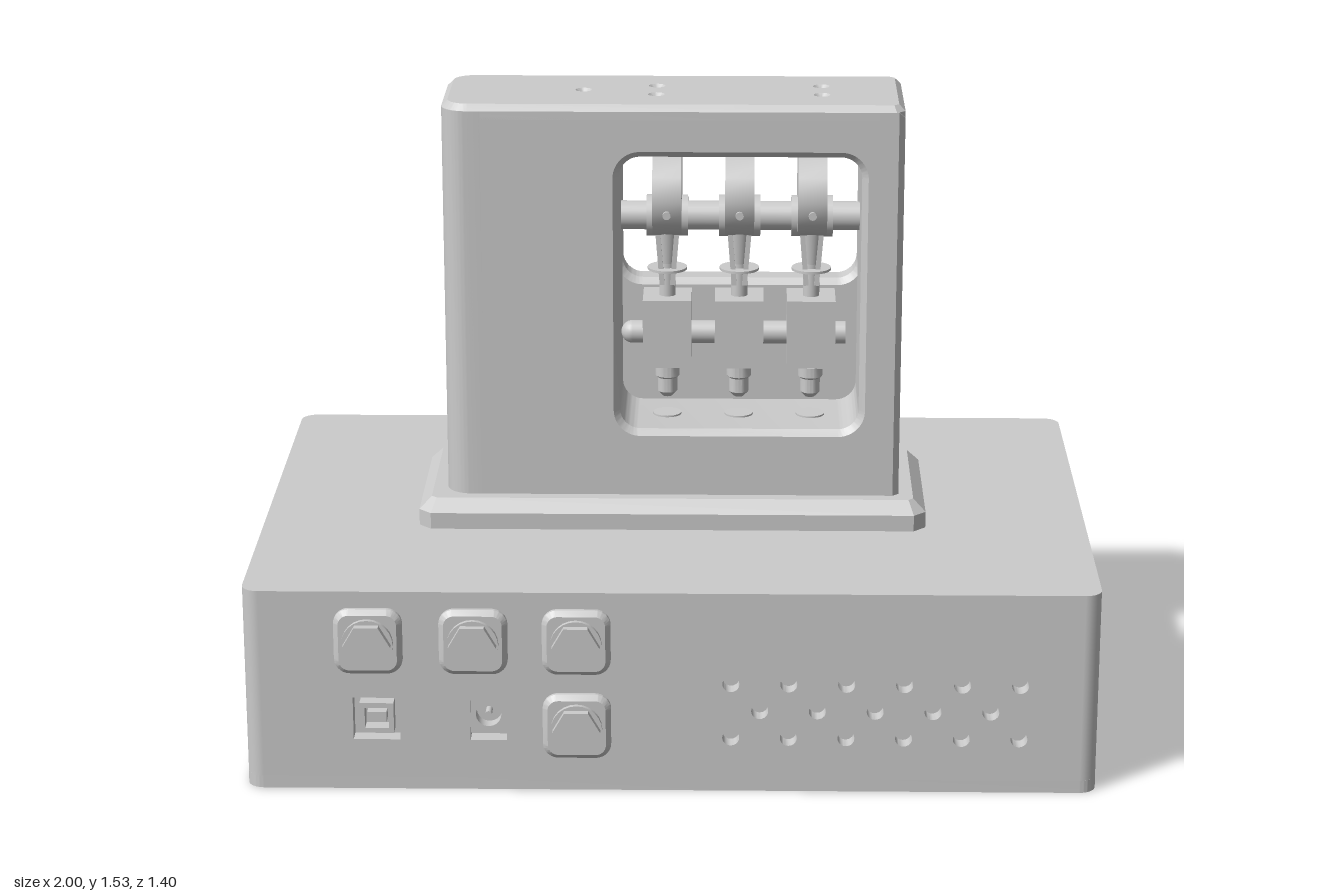
import * as THREE from 'three';
import { toCreasedNormals } from 'three/addons/utils/BufferGeometryUtils.js';

const material = new THREE.MeshStandardMaterial({ color: 0xcccccc });

// Rectangle with rounded corners
function roundRect(x0, y0, x1, y1, r) {
  const s = new THREE.Shape();
  s.absarc(x1 - r, y1 - r, r, 0, Math.PI / 2);
  s.absarc(x0 + r, y1 - r, r, Math.PI / 2, Math.PI);
  s.absarc(x0 + r, y0 + r, r, Math.PI, Math.PI * 1.5);
  s.absarc(x1 - r, y0 + r, r, Math.PI * 1.5, Math.PI * 2);
  s.closePath();
  return s;
}
const polygon = (...p) => new THREE.Shape(p.map(([x, y]) => new THREE.Vector2(x, y)));
const rect = (x0, y0, x1, y1) => polygon([x0, y0], [x1, y0], [x1, y1], [x0, y1]);
const circle = (x, y, r) => new THREE.Shape().absarc(x, y, r, 0, Math.PI * 2);

export function createModel() {
  const model = new THREE.Group();
  const base = new THREE.Group();
  const tower = new THREE.Group();
  const pumps = new THREE.Group();
  base.name = 'base';
  tower.name = 'tower';
  pumps.name = 'pumpMechanism';
  model.add(base, tower, pumps);

  function add(parent, name, geo, x = 0, y = 0, z = 0) {
    const mesh = new THREE.Mesh(geo, material);
    mesh.name = name;
    mesh.position.set(x, y, z);
    parent.add(mesh);
    return mesh;
  }
  // Extrusion filling the span a..b along an axis, chamfered by bevel
  function slab(parent, name, shape, holes, a, b, axis = 'z', bevel = 0) {
    shape.holes.push(...holes);
    const geo = new THREE.ExtrudeGeometry(shape, {
      depth: b - a - 2 * bevel, bevelEnabled: bevel > 0, bevelSize: bevel,
      bevelThickness: bevel, bevelSegments: 1, curveSegments: 10,
    });
    geo.translate(0, 0, a + bevel);
    if (axis === 'y') geo.rotateX(-Math.PI / 2);
    if (axis === 'x') geo.rotateY(Math.PI / 2);
    return add(parent, name, toCreasedNormals(geo, 0.5));
  }
  const box = (p, n, w, h, d, x, y, z) => add(p, n, new THREE.BoxGeometry(w, h, d), x, y, z);
  const rod = (p, n, r0, r1, h, x, y, z, sides = 24) =>
    add(p, n, new THREE.CylinderGeometry(r0, r1, h, sides), x, y, z);

  // ---- Base: screwed bottom plate, core, corner posts, front and back panels
  const screws = [[0, -0.6], [-0.27, -0.48], [-0.395, -0.245], [-0.27, -0.04], [-0.84, -0.185],
    [-0.925, -0.47], [-0.875, 0.51], [-0.42, 0.51], [0, 0.61],
    [0.94, 0.6], [0.94, -0.6], [-0.94, 0.6], [-0.94, -0.6]];
  slab(base, 'bottomPlate', roundRect(-1, -0.655, 1, 0.655, 0.04),
    screws.map(([x, z]) => circle(x, -z, 0.017)), 0, 0.03, 'y');
  box(base, 'baseCore', 2, 0.465, 1.23, 0, 0.2625, 0);
  for (const x of [-0.96, 0.96]) for (const z of [-0.615, 0.615]) {
    rod(base, 'cornerPost', 0.04, 0.04, 0.465, x, 0.2625, z);
  }

  // Staggered vent holes: three rows, the middle one shorter
  function vents(x0, y0, count, dx, dy) {
    const out = [];
    for (let row = 0; row < 3; row++) {
      const odd = row % 2;
      for (let i = 0; i < count - odd; i++) {
        out.push(circle(x0 + (i + odd / 2) * dx, y0 + row * dy, 0.02));
      }
    }
    return out;
  }
  slab(base, 'frontPanel', rect(-0.96, 0.03, 0.96, 0.495), [
    ...vents(0.14, 0.135, 6, 0.135, 0.0675),
    rect(-0.745, 0.125, -0.635, 0.23), rect(-0.47, 0.125, -0.385, 0.23),
  ], 0.615, 0.655);
  slab(base, 'backPanel', rect(-0.96, 0.03, 0.96, 0.495), [
    ...vents(-0.86, 0.255, 5, 0.17, 0.0675), rect(0.48, 0.18, 0.72, 0.41),
  ], -0.655, -0.615);

  // Data port and power jack set into the front panel
  slab(base, 'dataPortShell', rect(-0.73, 0.14, -0.65, 0.215),
    [rect(-0.718, 0.152, -0.662, 0.203)], 0.61, 0.652);
  box(base, 'dataPortTongue', 0.045, 0.025, 0.035, -0.69, 0.178, 0.63);
  slab(base, 'powerJackShell', rect(-0.47, 0.14, -0.385, 0.23),
    [circle(-0.4275, 0.187, 0.03)], 0.61, 0.648);
  rod(base, 'powerJackPin', 0.008, 0.008, 0.035, -0.4275, 0.187, 0.63, 12).rotation.x = Math.PI / 2;

  // Buttons with square bezel, round collar and hexagonal cap
  for (const [x, y] of [[-0.705, 0.375], [-0.46, 0.375], [-0.22, 0.375], [-0.22, 0.165]]) {
    slab(base, 'buttonBezel', roundRect(x - 0.068, y - 0.068, x + 0.068, y + 0.068, 0.025),
      [], 0.635, 0.676, 'z', 0.012);
    rod(base, 'buttonCollar', 0.06, 0.06, 0.03, x, y, 0.672).rotation.x = Math.PI / 2;
    const cap = add(base, 'buttonCap', toCreasedNormals(
      new THREE.CylinderGeometry(0.056, 0.056, 0.06, 6), 0.3), x, y, 0.675);
    cap.rotation.set(Math.PI / 2, Math.PI / 2, 0);
  }

  // Mains inlet on the back
  slab(base, 'mainsInlet', rect(0.46, 0.155, 0.78, 0.435), [
    polygon([0.69, 0.19], [0.69, 0.4], [0.555, 0.4], [0.505, 0.35], [0.505, 0.24], [0.555, 0.19]),
  ], -0.7, -0.62, 'z', 0.01);
  for (const [x, y] of [[0.63, 0.235], [0.565, 0.295], [0.63, 0.355]]) {
    box(base, 'mainsPin', 0.035, 0.012, 0.06, x, y, -0.64);
  }

  // ---- Tower: flange, chamfered right side, rounded left side, cap
  const [fx0, fx1, fz, c] = [-0.59, 0.58, 0.195, 0.012];
  slab(tower, 'flange', polygon([fx0 + c, -fz], [fx1 - c, -fz], [fx1, -fz + c], [fx1, fz - c],
    [fx1 - c, fz], [fx0 + c, fz], [fx0, fz - c], [fx0, -fz + c]), [], 0.4, 0.565, 'y', 0.03);
  slab(tower, 'leftSide', roundRect(-0.555, -0.165, -0.4, 0.165, 0.06), [], 0.48, 1.52, 'y');
  slab(tower, 'rightSide', rect(-0.15, 0.48, 0.15, 1.505),
    [[0, 1.295], [0.06, 1.185], [-0.06, 1.185]].map(([z, y]) => circle(z, y, 0.02)),
    0.495, 0.545, 'x', 0.015);

  const cap = new THREE.Shape();
  cap.moveTo(0.53, -0.138).lineTo(0.53, 0.138).lineTo(0.518, 0.15).lineTo(-0.49, 0.15);
  cap.absarc(-0.49, 0.1, 0.05, Math.PI / 2, Math.PI);
  cap.absarc(-0.49, -0.1, 0.05, Math.PI, Math.PI * 1.5);
  cap.lineTo(0.518, -0.15).closePath();
  slab(tower, 'topCap', cap, [[-0.22, 0], [-0.045, 0.045], [-0.045, -0.045], [0.35, 0.045],
    [0.35, -0.045]].map(([x, z]) => circle(x, -z, 0.02)), 1.485, 1.535, 'y', 0.015);

  // Tall window in front, shorter window and bolt holes in the back wall
  const wall = () => rect(-0.49, 0.48, 0.515, 1.505);
  slab(tower, 'frontWall', wall(), [roundRect(-0.147, 0.715, 0.46, 1.423, 0.065)],
    -0.12, 0.165, 'z', 0.015);
  const bolts = [0, 1, 2].flatMap((i) => [
    circle(-0.05 + i * 0.176, 0.94, 0.024), circle(0.015 + i * 0.176, 0.847, 0.024)]);
  slab(tower, 'backWall', wall(), [roundRect(-0.147, 1.025, 0.46, 1.423, 0.065), ...bolts],
    -0.165, -0.085, 'z', 0.015);

  // ---- Mechanism: camshaft and supply pipe across three piston pumps
  rod(pumps, 'camshaft', 0.035, 0.035, 0.62, 0.155, 1.225, 0).rotation.z = Math.PI / 2;
  rod(pumps, 'supplyPipe', 0.028, 0.028, 0.52, 0.155, 0.93, 0).rotation.z = Math.PI / 2;
  add(pumps, 'supplyPipeEnd', new THREE.SphereGeometry(0.028, 20, 12), -0.105, 0.93, 0);
  const tip = [[0, -0.095], [0.012, -0.093], [0.024, -0.08], [0.024, -0.045], [0.03, -0.04],
    [0.03, -0.015], [0.02, -0.01], [0.02, 0.005]].map(([x, y]) => new THREE.Vector2(x, y));
  const tipGeo = toCreasedNormals(new THREE.LatheGeometry(tip, 20), 0.5);

  for (const x of [-0.02, 0.155, 0.33]) {
    const pump = new THREE.Group();
    pump.name = 'pump';
    pump.position.x = x;
    pumps.add(pump);
    slab(pump, 'cam', circle(0, 1.28, 0.1), [], -0.035, 0.035, 'x');
    rod(pump, 'camHub', 0.05, 0.05, 0.1, 0, 1.225, 0).rotation.z = Math.PI / 2;
    rod(pump, 'setScrew', 0.01, 0.01, 0.03, 0, 1.25, 0.09, 12).rotation.x = Math.PI / 2;
    for (const side of [-1, 1]) {
      box(pump, 'followerFork', 0.012, 0.14, 0.05, side * 0.018, 1.125, 0).rotation.z = -side * 0.08;
    }
    rod(pump, 'follower', 0.03, 0.018, 0.1, 0, 1.14, 0);
    rod(pump, 'springCollar', 0.048, 0.048, 0.006, 0, 1.093, 0);
    rod(pump, 'pistonStem', 0.02, 0.02, 0.12, 0, 1.06, 0);
    box(pump, 'pumpBlock', 0.118, 0.17, 0.12, 0, 0.94, 0);
    box(pump, 'pumpBracket', 0.07, 0.09, 0.06, 0, 0.93, -0.08);
    add(pump, 'nozzle', tipGeo, 0, 0.86, 0);
    rod(pump, 'outletRing', 0.035, 0.035, 0.008, 0, 0.73, 0.03);
  }
  return model;
}
